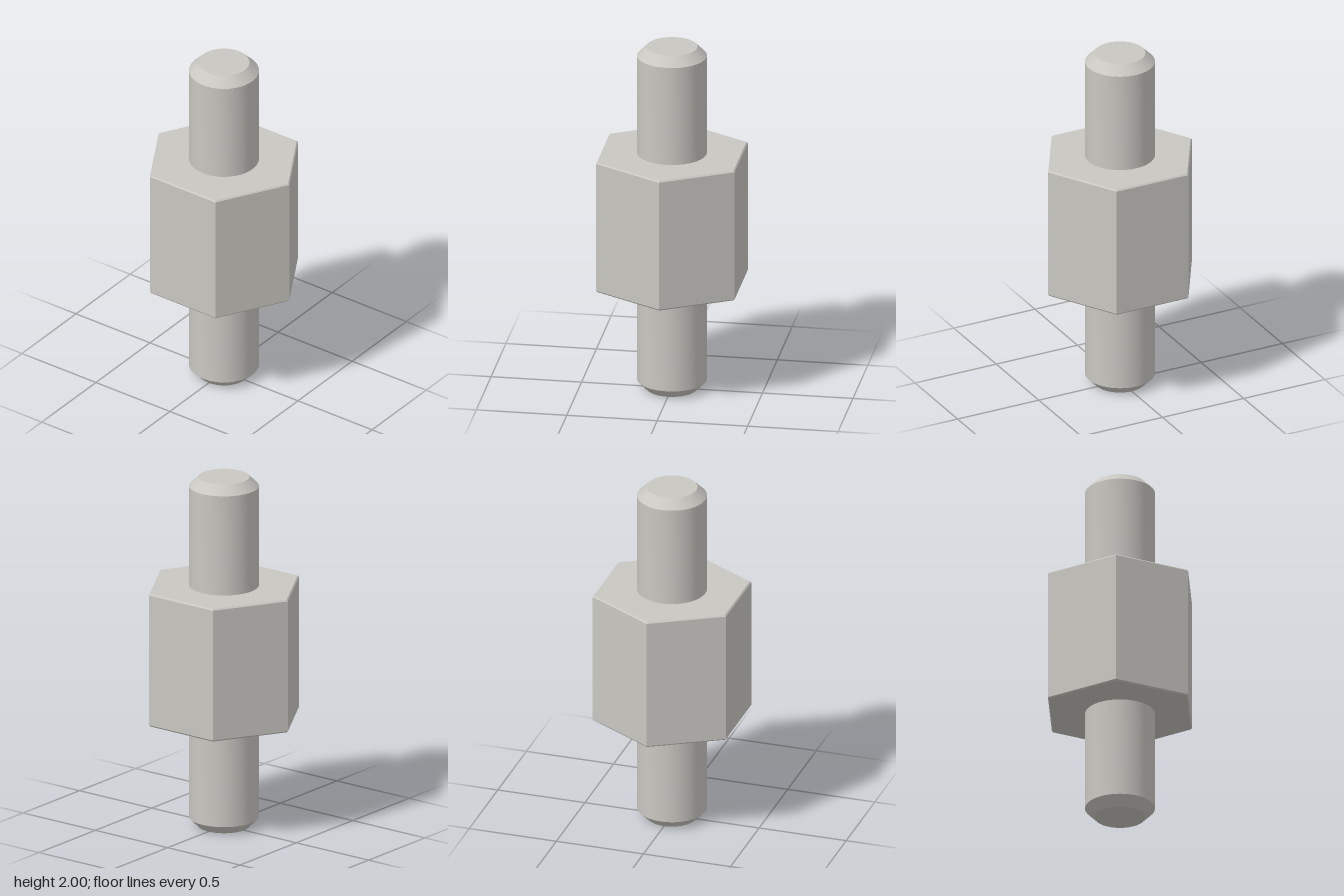
import * as THREE from 'three';
import { toCreasedNormals } from 'three/addons/utils/BufferGeometryUtils.js';

const HEX_R = 0.442;          // corner radius of the hexagon
const HEX_LOW = 0.62, HEX_HIGH = 1.38;
const STUD_R = 0.191, TIP_R = 0.139;
const BEVEL = 0.008;

// Turned solid with hard edges wherever faces meet at more than 25 degrees
function turned(profile, sides, start = 0) {
  const points = profile.map(([r, y]) => new THREE.Vector2(r, y));
  return toCreasedNormals(new THREE.LatheGeometry(points, sides, start), THREE.MathUtils.degToRad(25));
}

export function createModel() {
  const model = new THREE.Group();
  model.name = 'hexStandoff';
  const metal = new THREE.MeshStandardMaterial({ color: 0xc9c7c1 });
  metal.name = 'warm grey metal';

  // Hexagonal body with corners on the x axis and finely bevelled ends
  const body = new THREE.Mesh(turned([
    [0, HEX_LOW], [HEX_R - BEVEL, HEX_LOW], [HEX_R, HEX_LOW + BEVEL],
    [HEX_R, HEX_HIGH - BEVEL], [HEX_R - BEVEL, HEX_HIGH], [0, HEX_HIGH],
  ], 6, Math.PI / 6), metal);
  body.name = 'hexBody';
  model.add(body);

  // Round studs with chamfered tips, one at each end
  const studGeometry = turned([
    [STUD_R, HEX_HIGH], [STUD_R, 1.948], [TIP_R, 2], [0, 2],
  ], 64);
  const upperStud = new THREE.Mesh(studGeometry, metal);
  upperStud.name = 'upperStud';
  const lowerStud = new THREE.Mesh(studGeometry, metal);
  lowerStud.name = 'lowerStud';
  lowerStud.rotation.x = Math.PI;
  lowerStud.position.y = 2;
  model.add(upperStud, lowerStud);

  return model;
}
